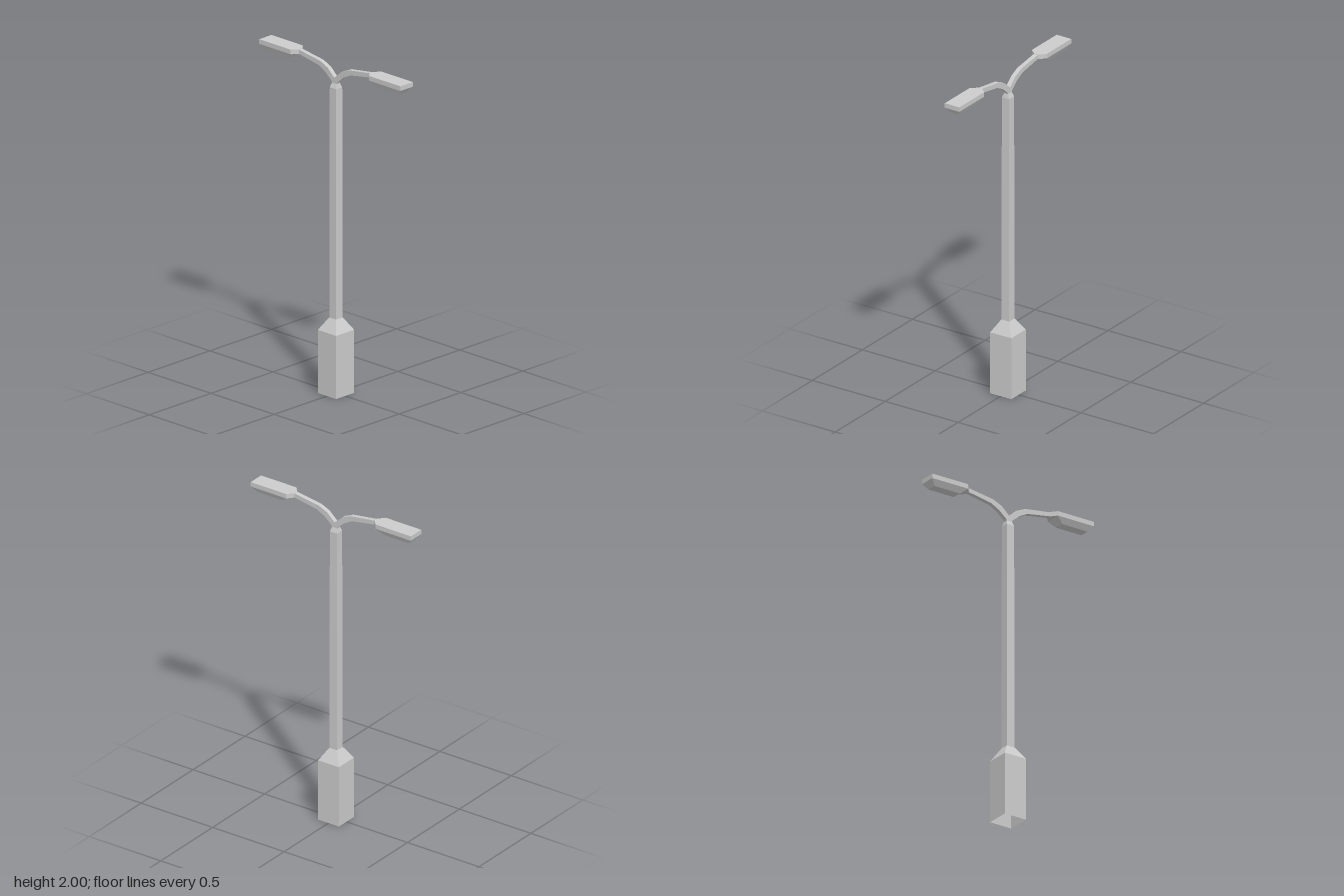
import * as THREE from 'three';

const material = new THREE.MeshStandardMaterial({ color: 0xcccccc, flatShading: true, side: THREE.DoubleSide });

// Joins rings of [x, y, z] points into a faceted skin, with optional flat end caps.
function loft(name, rings, capStart = false, capEnd = false) {
  const positions = [];
  const tri = (a, b, c) => positions.push(...a, ...b, ...c);
  const n = rings[0].length;
  for (let i = 0; i < rings.length - 1; i++) {
    for (let j = 0; j < n; j++) {
      const k = (j + 1) % n;
      const [a, b, c, d] = [rings[i][j], rings[i][k], rings[i + 1][k], rings[i + 1][j]];
      tri(a, b, c);
      tri(a, c, d);
    }
  }
  const first = rings[0], last = rings[rings.length - 1];
  for (let j = 1; j < n - 1; j++) {
    if (capStart) tri(first[0], first[j + 1], first[j]);
    if (capEnd) tri(last[0], last[j], last[j + 1]);
  }
  const geometry = new THREE.BufferGeometry();
  geometry.setAttribute('position', new THREE.Float32BufferAttribute(positions, 3));
  geometry.computeVertexNormals();
  const mesh = new THREE.Mesh(geometry, material);
  mesh.name = name;
  return mesh;
}

// Horizontal rectangle at height y, spanning x = ±w and z = z0..z1.
const rect = (y, w, z0 = -w, z1 = w) => [[w, y, z1], [w, y, z0], [-w, y, z0], [-w, y, z1]];

const ARM = 0.0133; // half width of the arm

function createLampArm(name) {
  const group = new THREE.Group();
  group.name = name;

  // Curved arm: [outer z, outer y, inner z, inner y] at each bend
  const bends = [
    [0.018, 1.865, 0, 1.865],
    [0.022, 1.876, 0, 1.9],
    [0.07, 1.917, 0.053, 1.948],
    [0.125, 1.946, 0.112, 1.974],
    [0.28, 1.973, 0.28, 1.998],
  ];
  group.add(loft('arm', bends.map(([zo, yo, zi, yi]) =>
    [[ARM, yo, zo], [ARM, yi, zi], [-ARM, yi, zi], [-ARM, yo, zo]])));

  // Lamp housing with a neck that narrows to the arm
  const outline = y => [
    [0.05, y, 0.56], [0.05, y, 0.312], [ARM, y, 0.28],
    [-ARM, y, 0.28], [-0.05, y, 0.312], [-0.05, y, 0.56],
  ];
  group.add(loft('lampHousing', [outline(1.972), outline(2)], true, true));

  // Tapered lens under the housing
  group.add(loft('lampLens', [rect(1.938, 0.03, 0.355, 0.53), rect(1.972, 0.05, 0.312, 0.56)], true));
  return group;
}

export function createModel() {
  const model = new THREE.Group();
  model.name = 'streetLamp';

  // Square pedestal, open underneath, with a sloped shoulder
  model.add(loft('base', [rect(0, 0.0725), rect(0.38, 0.0725), rect(0.455, 0.027)]));

  // Square pole with a tapered tip
  model.add(loft('pole', [rect(0.455, 0.027), rect(1.84, 0.025), rect(1.867, ARM, -0.018, 0.018)], false, true));

  // Two opposite lamp arms
  const front = createLampArm('frontLampArm');
  const back = createLampArm('backLampArm');
  back.rotation.y = Math.PI;
  model.add(front, back);
  return model;
}
